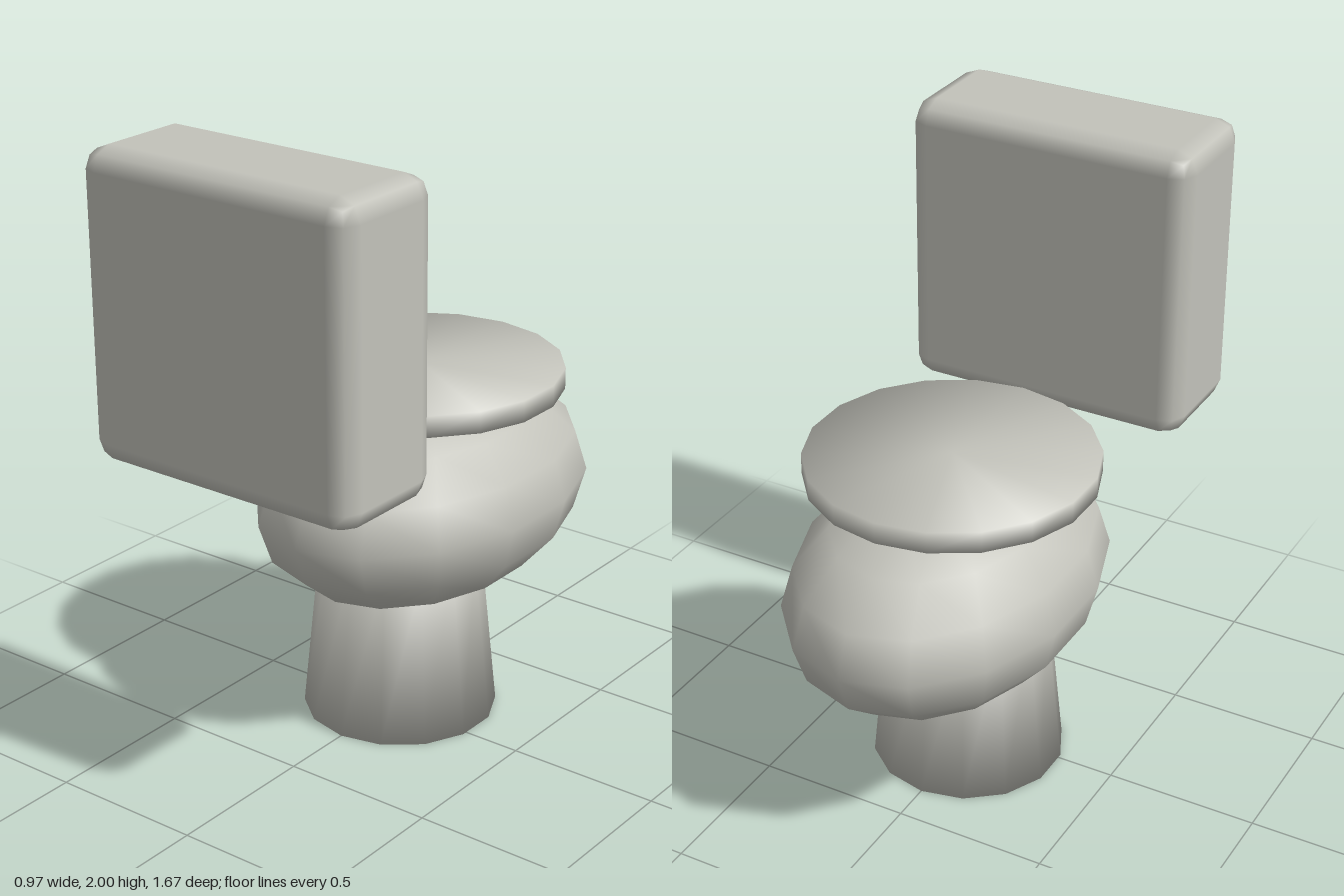
import * as THREE from 'three';
import { mergeVertices } from 'three/addons/utils/BufferGeometryUtils.js';
import { RoundedBoxGeometry } from 'three/addons/geometries/RoundedBoxGeometry.js';

// Cylinder whose normals blend softly from the wall over the rim into the caps
function softCylinder(top, bottom, height, sides) {
  let geo = new THREE.CylinderGeometry(top, bottom, height, sides);
  geo.deleteAttribute('uv');
  geo.deleteAttribute('normal');
  geo = mergeVertices(geo, 1e-4);
  const pos = geo.attributes.position;
  const normals = [];
  const n = new THREE.Vector3();
  for (let i = 0; i < pos.count; i++) {
    n.set(pos.getX(i), 0, pos.getZ(i)).normalize();
    n.y = Math.sign(pos.getY(i));
    n.normalize();
    normals.push(n.x, n.y, n.z);
  }
  geo.setAttribute('normal', new THREE.Float32BufferAttribute(normals, 3));
  return geo;
}

export function createModel() {
  const group = new THREE.Group();
  const porcelain = new THREE.MeshStandardMaterial({ color: 0xc2c2ba });
  porcelain.name = 'porcelain';

  const add = (name, geo, x, y, z) => {
    const mesh = new THREE.Mesh(geo, porcelain);
    mesh.name = name;
    mesh.position.set(x, y, z);
    group.add(mesh);
  };

  // Tapered foot, its top hidden inside the bowl
  add('pedestal', softCylinder(0.26, 0.315, 0.56, 14), 0, 0.28, -0.055);

  // Stretched sphere, turned so that a vertex points along z
  const bowl = new THREE.SphereGeometry(1, 14, 8);
  bowl.rotateY(Math.PI / 2).scale(0.46, 0.352, 0.655);
  add('bowl', bowl, 0, 0.737, -0.18);

  // Flat lid over the bowl
  add('lid', softCylinder(0.461, 0.461, 0.07, 18), 0, 1.125, -0.153);

  // Water tank with rounded edges
  add('tank', new RoundedBoxGeometry(0.97, 0.97, 0.415, 1, 0.07), 0, 1.515, 0.6275);

  return group;
}
